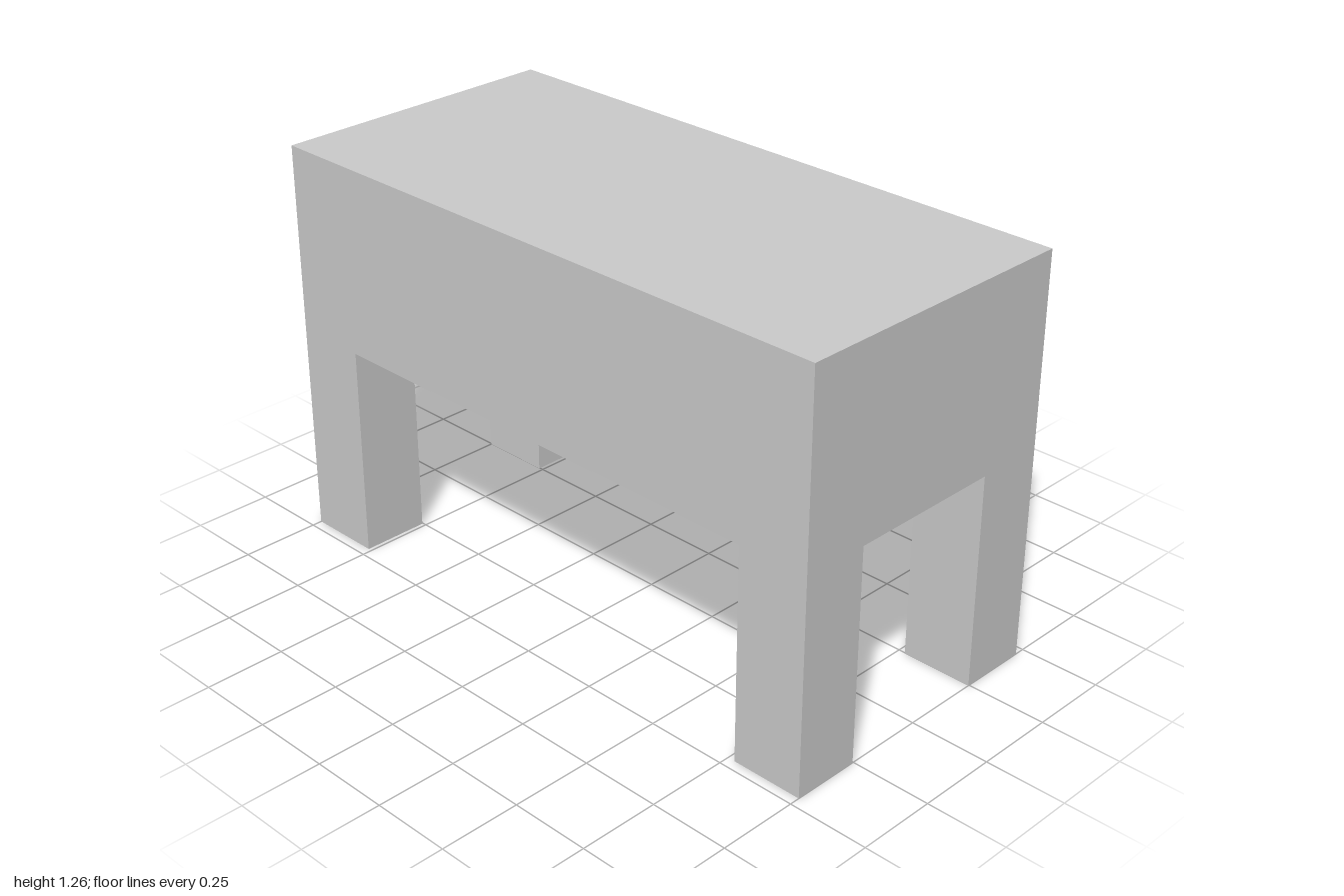
import * as THREE from 'three';

const material = new THREE.MeshStandardMaterial({ color: 0xcccccc, flatShading: true });

// Box given by its lower and upper limits on each axis
function block(name, [x0, x1], [y0, y1], [z0, z1]) {
  const mesh = new THREE.Mesh(new THREE.BoxGeometry(x1 - x0, y1 - y0, z1 - z0), material);
  mesh.name = name;
  mesh.position.set((x0 + x1) / 2, (y0 + y1) / 2, (z0 + z1) / 2);
  return mesh;
}

export function createModel() {
  const group = new THREE.Group();
  group.name = 'blockTable';

  const halfWidth = 0.468, halfLength = 1, height = 1.26, legHeight = 0.67;

  // Thick solid top
  group.add(block('body', [-halfWidth, halfWidth], [legHeight, height], [-halfLength, halfLength]));

  // Four square legs flush with the outer corners
  const sides = { Left: [0.247, halfWidth], Right: [-halfWidth, -0.253] };
  const ends = { front: [0.773, halfLength], back: [-halfLength, -0.763] };
  for (const [end, z] of Object.entries(ends)) {
    for (const [side, x] of Object.entries(sides)) {
      group.add(block(`${end}${side}Leg`, x, [0, legHeight], z));
    }
  }
  return group;
}
